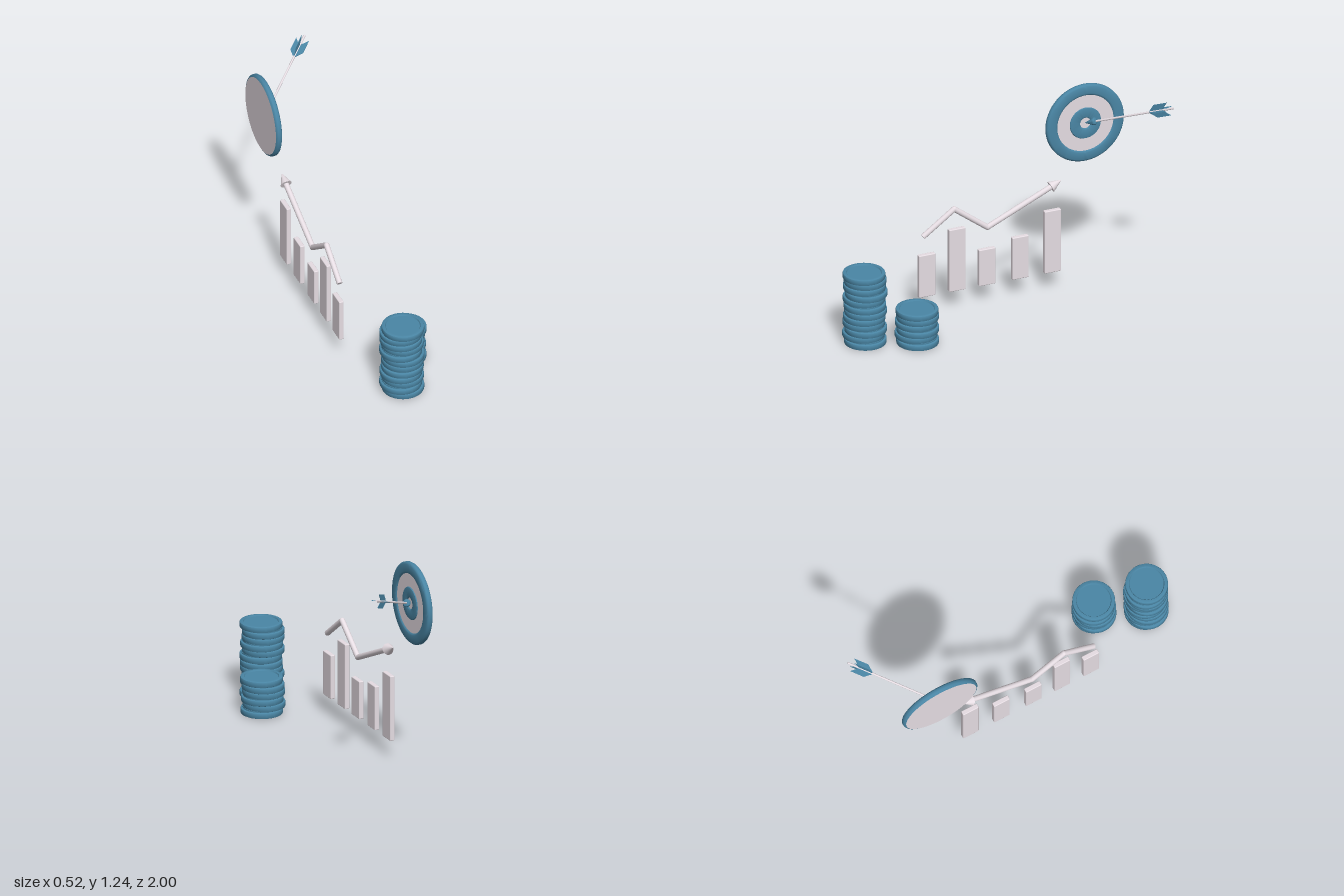
import * as THREE from 'three';
import { toCreasedNormals } from 'three/addons/utils/BufferGeometryUtils.js';
import { RoundedBoxGeometry } from 'three/addons/geometries/RoundedBoxGeometry.js';

const pale = new THREE.MeshStandardMaterial({ color: 0xe6dde3 });
const blue = new THREE.MeshStandardMaterial({ color: 0x4a86a5 });
const blueThin = new THREE.MeshStandardMaterial({ color: 0x4a86a5, side: THREE.DoubleSide });
const UP = new THREE.Vector3(0, 1, 0);

function add(parent, name, geometry, material) {
  const mesh = new THREE.Mesh(geometry, material);
  mesh.name = name;
  parent.add(mesh);
  return mesh;
}

// Turned part from [radius, height] pairs, listed from the bottom up
function lathe(profile, segments = 64) {
  const points = profile.map(([r, y]) => new THREE.Vector2(r, y));
  return toCreasedNormals(new THREE.LatheGeometry(points, segments), 0.7);
}

// Round rod or cone between two points
function rod(parent, name, a, b, rStart, rEnd, material) {
  const dir = b.clone().sub(a);
  const mesh = add(parent, name, new THREE.CylinderGeometry(rEnd, rStart, dir.length(), 24), material);
  mesh.position.copy(a).add(b).multiplyScalar(0.5);
  mesh.quaternion.setFromUnitVectors(UP, dir.normalize());
}

// Stack of slightly shifted coins with raised rims on both faces
function coinStack(name, x, z, shifts) {
  const stack = new THREE.Group();
  stack.name = name;
  const h = 0.035, pitch = 0.0376;
  const coin = lathe([
    [0, 0.007], [0.098, 0.007], [0.102, 0], [0.117, 0], [0.121, 0.002], [0.123, 0.007],
    [0.123, h - 0.007], [0.121, h - 0.002], [0.117, h], [0.102, h], [0.098, h - 0.007], [0, h - 0.007],
  ]);
  shifts.forEach(([dx, dz], i) => {
    add(stack, 'coin', coin, blue).position.set(dx, i * pitch, dz);
    // Hidden core joining each coin to the next
    if (i < shifts.length - 1) {
      const core = add(stack, 'coinCore', new THREE.CylinderGeometry(0.11, 0.11, 0.012, 32), blue);
      core.position.set(dx, (i + 1) * pitch - 0.002, dz);
    }
  });
  stack.position.set(x, 0, z);
  return stack;
}

function chart() {
  const group = new THREE.Group();
  group.name = 'barChart';
  const base = 0.11;
  [[0.396, 0.377], [0.206, 0.505], [0.019, 0.34], [-0.19, 0.377], [-0.393, 0.505]].forEach(([z, top]) => {
    const bar = add(group, 'bar', new RoundedBoxGeometry(0.029, top - base, 0.103, 2, 0.005), pale);
    bar.position.set(0, (top + base) / 2, z);
  });

  // Trend line with an arrowhead
  const path = [[0.49, 0.418], [0.63, 0.222], [0.473, 0.013], [0.652, -0.385]]
    .map(([y, z]) => new THREE.Vector3(0, y, z));
  for (let i = 0; i < 3; i++) {
    rod(group, 'trendLine', path[i], path[i + 1], 0.0165, 0.0165, pale);
    if (i > 0) add(group, 'trendJoint', new THREE.SphereGeometry(0.0165, 24, 16), pale).position.copy(path[i]);
  }
  rod(group, 'trendArrowhead', path[3], new THREE.Vector3(0, 0.682, -0.448), 0.034, 0.003, pale);
  group.position.x = -0.197;
  return group;
}

function target() {
  const group = new THREE.Group();
  group.name = 'target';
  // Built facing +y, then turned to face +x
  add(group, 'outerRing', lathe([
    [0.23, 0], [0.238, 0.004], [0.243, 0.012], [0.243, 0.027], [0.238, 0.034], [0.23, 0.038],
    [0.188, 0.038], [0.18, 0.036], [0.174, 0.028],
  ], 96), blue);
  add(group, 'backPlate', lathe([[0, 0], [0.23, 0]], 96), pale);
  add(group, 'whiteRing', lathe([[0.176, 0.031], [0.098, 0.031]], 96), pale);
  add(group, 'innerRing', lathe([
    [0.099, 0.028], [0.095, 0.036], [0.088, 0.038], [0.042, 0.038], [0.036, 0.036], [0.031, 0.028],
  ]), blue);
  add(group, 'bullseye', lathe([[0.033, 0.031], [0, 0.031]]), pale);
  group.rotation.z = -Math.PI / 2;
  group.position.set(-0.26, 1.001, -0.616);
  return group;
}

function arrow() {
  const group = new THREE.Group();
  group.name = 'arrow';
  const tip = new THREE.Vector3(-0.232, 1.0, -0.612);
  const tail = new THREE.Vector3(0.169, 1.198, -0.993);
  const dir = tail.clone().sub(tip);
  const length = dir.length();
  dir.normalize();

  // Local frame: y runs from the tip to the tail
  const side = new THREE.Vector3().crossVectors(UP, dir).normalize();
  const lift = new THREE.Vector3().crossVectors(dir, side);
  group.quaternion.setFromRotationMatrix(new THREE.Matrix4().makeBasis(lift, dir, side));
  group.position.copy(tip);

  add(group, 'shaft', new THREE.CylinderGeometry(0.006, 0.006, length - 0.06, 16), pale)
    .position.y = (length + 0.06) / 2;
  add(group, 'arrowTip', lathe([
    [0, 0], [0.021, 0.058], [0.023, 0.066], [0.02, 0.073], [0.012, 0.077], [0, 0.077],
  ], 32), blue);

  // Four swept vanes
  const vane = new THREE.Shape([[0, 0.72], [0.04, 0.8], [0.04, 0.95], [0, 0.87]]
    .map(([w, t]) => new THREE.Vector2(w, t * length)));
  const vaneGeometry = new THREE.ExtrudeGeometry(vane, { depth: 0.003, bevelEnabled: false });
  vaneGeometry.translate(0, 0, -0.0015);
  for (let i = 0; i < 4; i++) add(group, 'vane', vaneGeometry, blueThin).rotation.y = i * Math.PI / 2;
  return group;
}

export function createModel() {
  const model = new THREE.Group();
  model.name = 'growthScene';
  // Coin shifts run from the bottom coin to the top one
  model.add(coinStack('tallCoinStack', 0.002, 0.87, [
    [0.007, 0], [-0.009, 0.004], [0.006, -0.003], [-0.007, 0.003], [0.002, 0.004], [0.006, -0.002],
    [0.007, 0.003], [-0.008, 0.001], [0.006, -0.006], [-0.006, 0], [-0.005, -0.004], [0.004, 0.007],
  ]));
  model.add(coinStack('shortCoinStack', 0.13, 0.597, [
    [0.005, 0], [-0.011, 0.003], [0.003, -0.002], [-0.008, 0.003], [-0.002, -0.003], [0.005, 0.004],
  ]));
  model.add(chart(), target(), arrow());
  return model;
}
